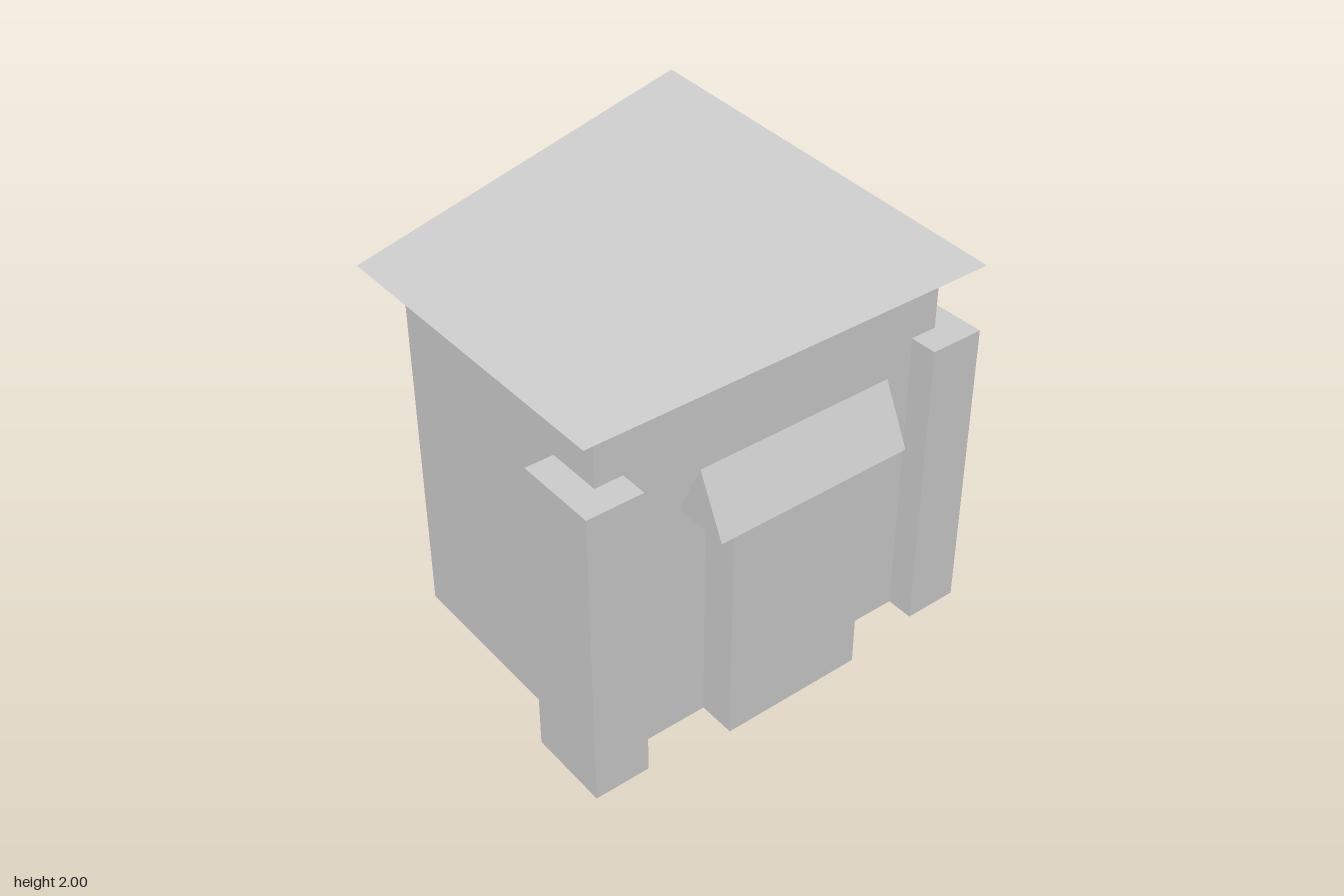
import * as THREE from 'three';

const material = new THREE.MeshStandardMaterial({ color: 0xcccccc, flatShading: true });
const openMaterial = new THREE.MeshStandardMaterial({ color: 0xcccccc, flatShading: true, side: THREE.DoubleSide });

const BODY = { halfWidth: 0.665, height: 1.34, back: -0.55, front: 0.45 };

function addMesh(parent, name, geometry, mat = material) {
  const mesh = new THREE.Mesh(geometry, mat);
  mesh.name = name;
  parent.add(mesh);
  return mesh;
}

// Prism of a flat outline, given as [x, y] corners
function extrude(points, depth) {
  const shape = new THREE.Shape(points.map(([x, y]) => new THREE.Vector2(x, y)));
  return new THREE.ExtrudeGeometry(shape, { depth, bevelEnabled: false });
}

export function createModel() {
  const model = new THREE.Group();
  model.name = 'house';

  // Main block
  const centreZ = (BODY.front + BODY.back) / 2;
  addMesh(model, 'body', new THREE.BoxGeometry(BODY.halfWidth * 2, BODY.height, BODY.front - BODY.back))
    .position.set(0, BODY.height / 2, centreZ);

  // Pyramid roof, open underneath
  const roof = new THREE.ConeGeometry(Math.SQRT2, 0.66, 4, 1, true);
  roof.rotateY(Math.PI / 4).scale(0.765, 1, 0.6);
  addMesh(model, 'roof', roof, openMaterial).position.set(0, BODY.height + 0.33, centreZ);

  // L-shaped pillars wrapped around the front corners
  for (const [side, name] of [[1, 'leftPillar'], [-1, 'rightPillar']]) {
    const outline = [
      [0.565, 0.45], [0.565, 0.55], [0.765, 0.55],
      [0.765, 0.25], [0.665, 0.25], [0.665, 0.45],
    ].map(([x, z]) => [side * x, -z]);
    addMesh(model, name, extrude(outline, 1.1).rotateX(-Math.PI / 2));
  }

  // Doorway: a front panel and two side panels, open at the bottom
  const door = new THREE.Group();
  door.name = 'door';
  model.add(door);
  const doorHeight = 0.875, doorFront = 0.585, doorHalf = 0.265;
  const doorDepth = doorFront - BODY.front;
  addMesh(door, 'doorFront', new THREE.PlaneGeometry(doorHalf * 2, doorHeight), openMaterial)
    .position.set(0, doorHeight / 2, doorFront);
  for (const side of [1, -1]) {
    const panel = addMesh(door, side > 0 ? 'doorLeftSide' : 'doorRightSide',
      new THREE.PlaneGeometry(doorDepth, doorHeight), openMaterial);
    panel.rotation.y = side * Math.PI / 2;
    panel.position.set(side * doorHalf, doorHeight / 2, BODY.front + doorDepth / 2);
  }

  // Gabled canopy over the door, its ridge running across
  const canopy = extrude([[-0.65, 0.875], [-0.45, 0.875], [-0.55, 1.085]], 0.73);
  canopy.rotateY(Math.PI / 2).translate(-0.365, 0, 0);
  addMesh(model, 'doorCanopy', canopy);

  return model;
}
